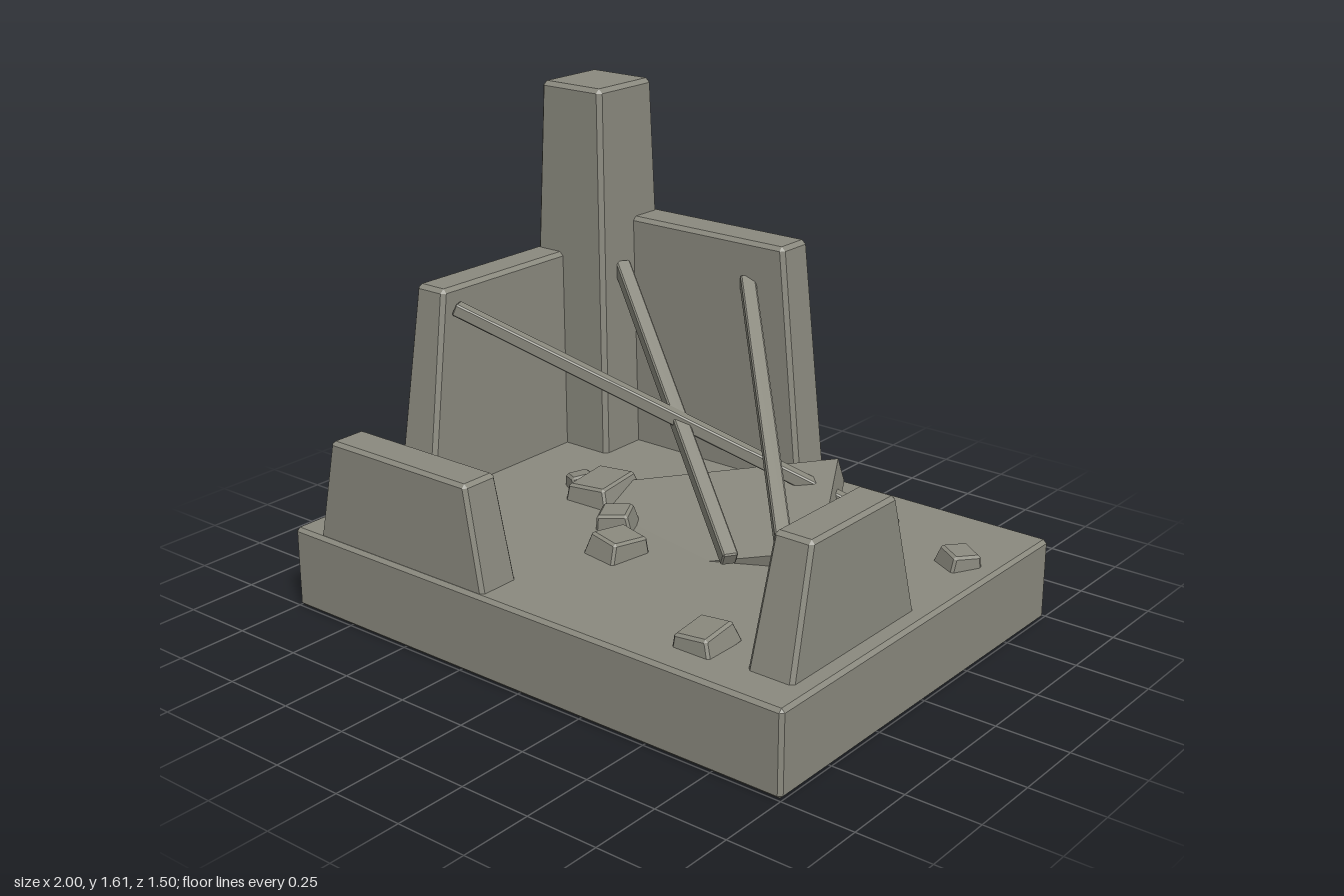
import * as THREE from 'three';
import { ConvexGeometry } from 'three/addons/geometries/ConvexGeometry.js';

const stone = new THREE.MeshStandardMaterial({ color: 0x8a897e });
stone.name = 'weathered stone';

// Chamfered block spanning y0..y1 whose plan rectangle changes from bottom to top.
// Each rectangle is [xMin, xMax, zMin, zMax].
function chamferedBlock(bottom, top, y0, y1, b) {
  const points = [];
  const put = (ix, iy, iz, dx, dy, dz) => {
    const y = iy ? y1 - dy : y0 + dy;
    const t = (y - y0) / (y1 - y0);
    const at = (i) => bottom[i] + (top[i] - bottom[i]) * t;
    const x = ix ? at(1) - dx : at(0) + dx;
    const z = iz ? at(3) - dz : at(2) + dz;
    points.push(new THREE.Vector3(x, y, z));
  };
  for (const ix of [0, 1]) for (const iy of [0, 1]) for (const iz of [0, 1]) {
    put(ix, iy, iz, 0, b, b);
    put(ix, iy, iz, b, 0, b);
    put(ix, iy, iz, b, b, 0);
  }
  return new ConvexGeometry(points);
}

export function createModel() {
  const model = new THREE.Group();
  model.name = 'ruin';
  const add = (name, geometry) => {
    const mesh = new THREE.Mesh(geometry, stone);
    mesh.name = name;
    model.add(mesh);
    return mesh;
  };

  // Ground slab
  const ground = [-1, 1, -0.737, 0.75];
  add('base', chamferedBlock(ground, ground, 0, 0.285, 0.012));

  // Corner pillar and broken walls, all tapering upward
  add('cornerPillar', chamferedBlock(
    [-0.985, -0.62, -0.755, -0.4], [-0.93, -0.66, -0.715, -0.43], 0.2, 1.61, 0.015));
  add('backWall', chamferedBlock(
    [-0.965, 0.105, -0.748, -0.585], [-0.87, 0.01, -0.738, -0.592], 0.25, 1.13, 0.014));
  add('sideWall', chamferedBlock(
    [-0.98, -0.81, -0.7, 0.3], [-0.96, -0.83, -0.6, 0.185], 0.25, 1.005, 0.014));
  add('frontWall', chamferedBlock(
    [-0.895, -0.145, 0.58, 0.737], [-0.82, -0.22, 0.592, 0.73], 0.25, 0.63, 0.012));
  add('leftWall', chamferedBlock(
    [0.775, 0.94, -0.025, 0.625], [0.79, 0.925, 0.085, 0.515], 0.25, 0.69, 0.012));

  // Fallen beams leaning from the walls to the ground
  const beams = [
    [[-0.82, 0.935, 0.14], [0.59, 0.31, -0.455], 0.045],
    [[-0.65, 0.965, -0.53], [0.33, 0.32, 0.11], 0.052],
    [[-0.15, 0.985, -0.61], [0.78, 0.325, 0.385], 0.052],
  ];
  for (const [from, to, size] of beams) {
    const a = new THREE.Vector3(...from);
    const c = new THREE.Vector3(...to);
    const h = size / 2;
    const len = a.distanceTo(c) / 2;
    const rect = [-h, h, -h, h];
    const beam = add('fallenBeam', chamferedBlock(rect, rect, -len, len, 0.005));
    const along = c.clone().sub(a).normalize();
    const side = new THREE.Vector3(0, 1, 0).cross(along).normalize();
    const normal = side.clone().cross(along);
    beam.applyMatrix4(new THREE.Matrix4().makeBasis(side, along, normal));
    beam.position.copy(a).add(c).multiplyScalar(0.5);
  }

  // Fallen slab, half sunk into the ground
  const corner = new THREE.Vector3(0.345, 0.49, -0.465);
  const edge = new THREE.Vector3(0.22, -0.13, 0.415);
  const run = new THREE.Vector3(-0.715, -0.165, 0.327);
  const thickness = 0.095;
  const slab = add('fallenSlab', new THREE.BoxGeometry(edge.length(), thickness, run.length()));
  slab.position.copy(corner).addScaledVector(edge, 0.5).addScaledVector(run, 0.5);
  const ex = edge.clone().normalize();
  const up = run.clone().cross(edge).normalize();
  const ez = ex.clone().cross(up);
  slab.quaternion.setFromRotationMatrix(new THREE.Matrix4().makeBasis(ex, up, ez));
  slab.position.addScaledVector(up, -thickness / 2);

  // Rubble: x, z, width, depth, height, turn, tilt
  const rubble = [
    [0.385, -0.45, 0.14, 0.12, 0.06, -0.1, 0.12],
    [0.87, -0.385, 0.12, 0.12, 0.05, -0.5, -0.1],
    [0.575, -0.155, 0.1, 0.09, 0.035, 0, 0.08],
    [-0.375, -0.1, 0.19, 0.22, 0.07, 0.05, 0.08],
    [-0.49, -0.115, 0.09, 0.1, 0.05, -0.5, 0.1],
    [-0.175, 0.065, 0.13, 0.12, 0.06, 0.45, 0.1],
    [-0.035, 0.23, 0.15, 0.17, 0.065, -0.17, -0.08],
    [0.585, 0.56, 0.15, 0.17, 0.055, 0.02, 0.1],
    [0.695, 0.325, 0.11, 0.1, 0.045, 0.25, -0.12],
  ];
  for (const [x, z, w, d, h, turn, tilt] of rubble) {
    const k = 0.4;
    const rock = add('rubble', chamferedBlock(
      [-w / 2, w / 2, -d / 2, d / 2], [-w * k, w * k, -d * k, d * k], -0.02, h, 0.008));
    rock.position.set(x, 0.285, z);
    rock.rotation.set(tilt, turn, tilt, 'YXZ');
  }
  return model;
}
